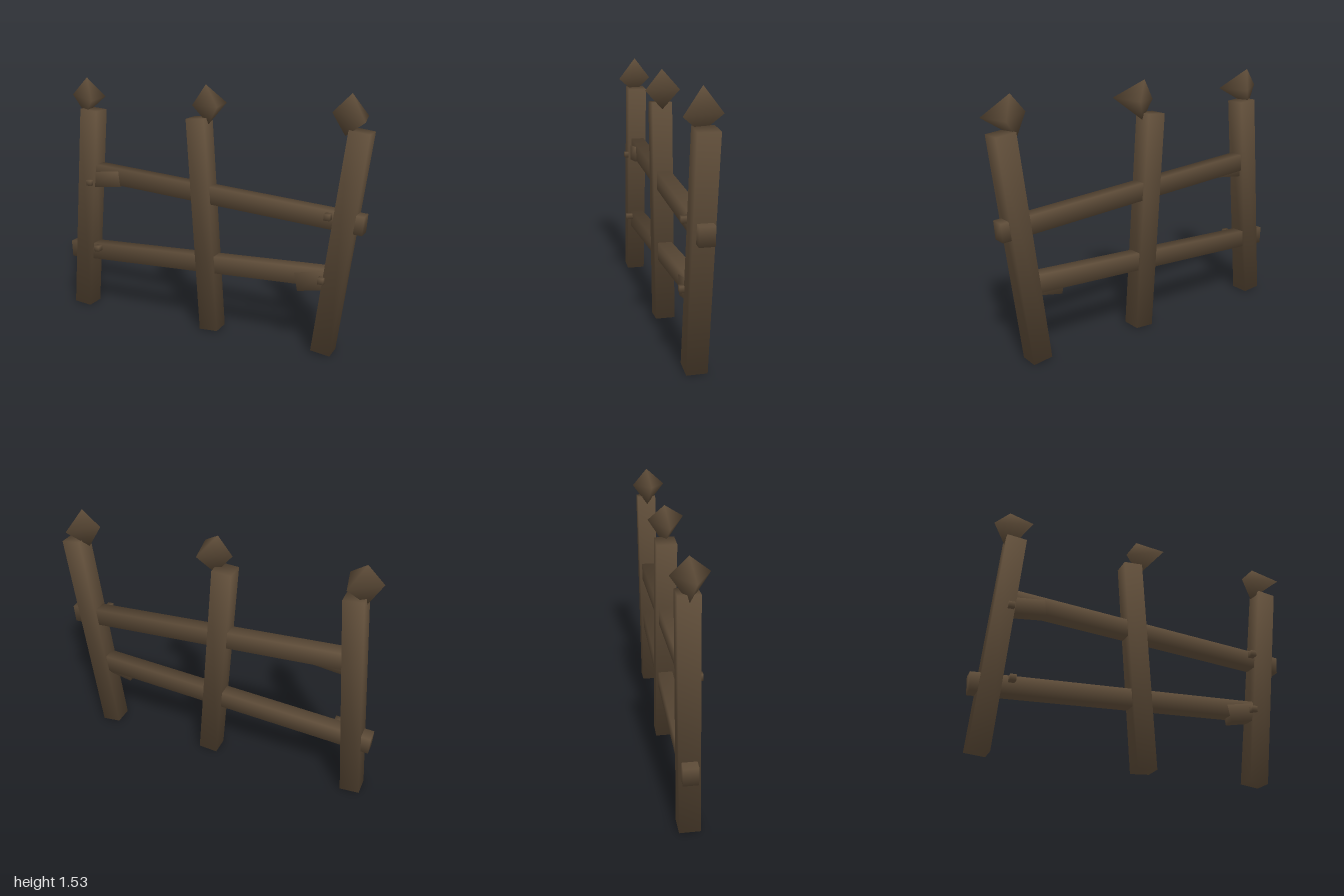
import * as THREE from 'three';
import { mergeVertices } from 'three/addons/utils/BufferGeometryUtils.js';

const wood = new THREE.MeshStandardMaterial({ color: 0x5f4d39 });
wood.name = 'dark brown wood';

// Box whose eight corners share one soft outward normal each
function softBox(w, h, d) {
  const g = new THREE.BoxGeometry(w, h, d);
  const p = g.attributes.position;
  const n = g.attributes.normal;
  const v = new THREE.Vector3();
  for (let i = 0; i < p.count; i++) {
    v.set(Math.sign(p.getX(i)), Math.sign(p.getY(i)), Math.sign(p.getZ(i))).normalize();
    n.setXYZ(i, v.x, v.y, v.z);
  }
  return g;
}

// Beam between two points in the x-y plane
function beam(name, [x1, y1], [x2, y2], thick, depth, z) {
  const m = new THREE.Mesh(softBox(Math.hypot(x2 - x1, y2 - y1), thick, depth), wood);
  m.name = name;
  m.position.set((x1 + x2) / 2, (y1 + y2) / 2, z);
  m.rotation.z = Math.atan2(y2 - y1, x2 - x1);
  return m;
}

// Pointed finial: three corners around the middle, one above and one below
function finialGeometry() {
  const pts = [
    -0.087, 0, 0, 0.088, 0, -0.11, 0.128, 0, 0.105,
    0, 0.118, -0.024, 0, -0.118, -0.024,
  ];
  const faces = [0, 2, 3, 2, 1, 3, 1, 0, 3, 2, 0, 4, 1, 2, 4, 0, 1, 4];
  let g = new THREE.BufferGeometry();
  g.setAttribute('position', new THREE.Float32BufferAttribute(pts, 3));
  g.setIndex(faces);
  g = mergeVertices(g);
  g.computeVertexNormals();
  return g;
}

export function createModel() {
  const fence = new THREE.Group();
  fence.name = 'fence';

  // Leaning posts, each with a finial turned by the same lean
  const finialGeo = finialGeometry();
  const posts = [
    ['rightPost', [-0.917, 0.005], [-0.805, 1.337], -0.857],
    ['middlePost', [0.042, 0.004], [-0.05, 1.337], 0.003],
    ['leftPost', [0.775, 0.008], [0.935, 1.335], 0.857],
  ];
  for (const [name, foot, top, finialX] of posts) {
    const post = beam(name, foot, top, 0.12, 0.118, -0.024);
    const finial = new THREE.Mesh(finialGeo, wood);
    finial.name = name + 'Finial';
    finial.position.set(finialX, 1.417, 0);
    finial.rotation.z = post.rotation.z - Math.PI / 2;
    fence.add(post, finial);
  }

  // Crooked rails
  fence.add(
    beam('upperRail', [-0.82, 0.935], [0.982, 0.812], 0.108, 0.085, -0.026),
    beam('lowerRail', [-0.997, 0.383], [0.82, 0.476], 0.108, 0.085, -0.026),
  );

  // Short braces where the rails meet the outer posts
  fence.add(
    beam('upperBrace', [-0.82, 0.882], [-0.602, 0.908], 0.1, 0.075, -0.016),
    beam('lowerBrace', [0.605, 0.425], [0.82, 0.468], 0.112, 0.075, -0.016),
  );

  // Square pegs
  for (const [x, y] of [[-0.81, 0.868], [0.785, 0.85], [-0.77, 0.425], [0.765, 0.467]]) {
    const peg = new THREE.Mesh(softBox(0.036, 0.036, 0.06), wood);
    peg.name = 'peg';
    peg.position.set(x, y, 0.03);
    fence.add(peg);
  }

  return fence;
}
